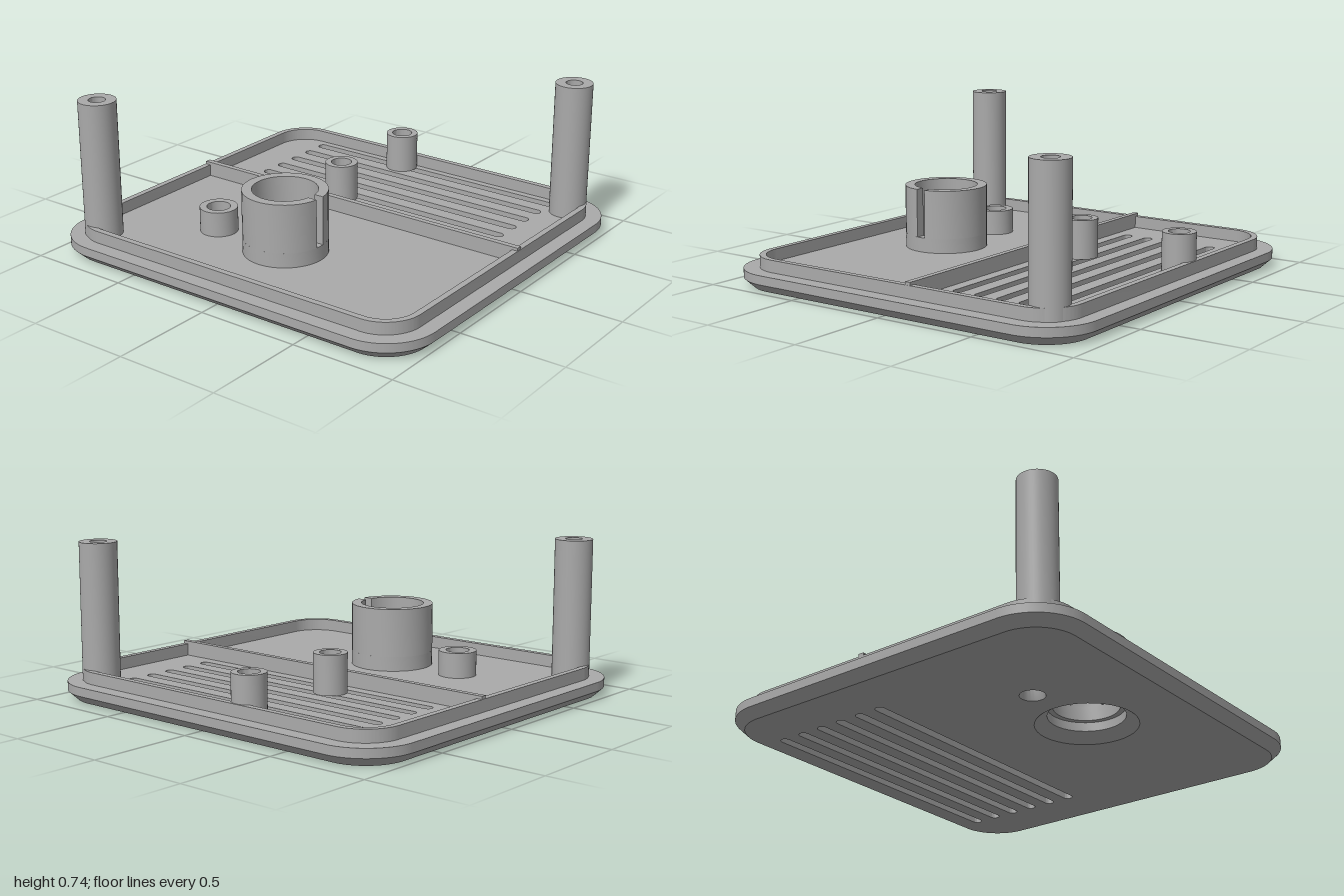
import * as THREE from 'three';
import { toCreasedNormals } from 'three/addons/utils/BufferGeometryUtils.js';

const FLOOR = 0.085, RIM_TOP = 0.143;
const TUBE_Z = 0.415, BOSS_X = -0.4;

// Rounded rectangle centred on the origin (half sizes and corner radius)
function roundedRect(hx, hz, r, Type = THREE.Shape) {
  const s = new Type();
  s.absarc(hx - r, hz - r, r, 0, Math.PI / 2);
  s.absarc(-hx + r, hz - r, r, Math.PI / 2, Math.PI);
  s.absarc(-hx + r, -hz + r, r, Math.PI, Math.PI * 1.5);
  s.absarc(hx - r, -hz + r, r, Math.PI * 1.5, Math.PI * 2);
  s.closePath();
  return s;
}

function circle(x, z, r, Type = THREE.Path) {
  return new Type().absarc(x, -z, r, 0, Math.PI * 2);
}

// Extrude a plan shape (shape y = -z) upward from y0 to y1
function slab(shape, y0, y1, steps = 1) {
  const g = new THREE.ExtrudeGeometry(shape, { depth: y1 - y0, steps, bevelEnabled: false, curveSegments: 20 });
  return g.rotateX(-Math.PI / 2).translate(0, y0, 0);
}

const crease = (g) => toCreasedNormals(g, 0.5);

// Turn a [radius, y] profile about a vertical axis at x, z
function turned(profile, x, z) {
  const g = new THREE.LatheGeometry(profile.map(([r, y]) => new THREE.Vector2(r, y)), 40);
  return crease(g.toNonIndexed()).translate(x, 0, z);
}

// Solid post with a blind screw hole
function post(x, z, r, hole, top, holeBottom) {
  return turned([[0, FLOOR], [r, FLOOR], [r, top], [hole, top], [hole, holeBottom], [0, holeBottom]], x, z);
}

// Base plate: chamfered lower edge, countersunk holes and vent slots
function basePlate() {
  const s = roundedRect(0.953, 0.898, 0.2);
  s.holes.push(circle(0, TUBE_Z, 0.236), circle(BOSS_X, TUBE_Z, 0.058));
  for (let i = 0; i < 6; i++) {
    const y = 0.783 - i * 0.117, r = 0.023, x = 0.693;
    const slot = new THREE.Path();
    slot.absarc(x, y, r, -Math.PI / 2, Math.PI / 2);
    slot.absarc(-x, y, r, Math.PI / 2, Math.PI * 1.5);
    slot.closePath();
    s.holes.push(slot);
  }
  const g = slab(s, 0, FLOOR, 2);
  const p = g.attributes.position;
  // Above the chamfer the outline grows and the countersinks shrink
  for (let i = 0; i < p.count; i++) {
    if (p.getY(i) < 0.02) continue;
    let x = p.getX(i), z = p.getZ(i);
    const cx = THREE.MathUtils.clamp(x, -0.75, 0.75), cz = THREE.MathUtils.clamp(z, -0.695, 0.695);
    const d = Math.hypot(x - cx, z - cz);
    if (d > 0.19) {
      x = cx + (x - cx) * 0.25 / d;
      z = cz + (z - cz) * 0.25 / d;
    } else if (Math.hypot(x, z - TUBE_Z) < 0.24) {
      x *= 0.178 / 0.236;
      z = TUBE_Z + (z - TUBE_Z) * 0.178 / 0.236;
    } else if (Math.hypot(x - BOSS_X, z - TUBE_Z) < 0.06) {
      x = BOSS_X + (x - BOSS_X) * 0.046 / 0.058;
      z = TUBE_Z + (z - TUBE_Z) * 0.046 / 0.058;
    }
    p.setXYZ(i, x, p.getY(i), z);
  }
  return crease(g);
}

export function createModel() {
  const model = new THREE.Group();
  model.name = 'ventedCover';
  const grey = new THREE.MeshStandardMaterial({ color: 0xaaaaaa });
  grey.name = 'grey plastic';
  const add = (name, geometry, parent = model) => {
    const m = new THREE.Mesh(geometry, grey);
    m.name = name;
    parent.add(m);
    return m;
  };

  add('basePlate', basePlate());

  // Raised locating rim
  const rim = roundedRect(0.926, 0.872, 0.18);
  rim.holes.push(roundedRect(0.896, 0.842, 0.15, THREE.Path));
  add('rim', crease(slab(rim, FLOOR, RIM_TOP)));

  // Cross rib between the vented and solid halves
  add('dividerRib', new THREE.BoxGeometry(1.848, 0.157 - FLOOR, 0.028).translate(0, (0.157 + FLOOR) / 2, -0.105));

  // Tall corner posts
  add('frontPost', post(-0.815, 0.76, 0.089, 0.04, 0.741, 0.4));
  add('backPost', post(0.813, -0.76, 0.089, 0.04, 0.741, 0.4));

  // Medium screw bosses over the vents
  add('backBoss', post(-0.18, -0.787, 0.079, 0.05, 0.272, 0.1));
  add('middleBoss', post(-0.18, -0.257, 0.079, 0.05, 0.272, 0.1));

  // Short boss with a stepped through hole
  add('shortBoss', turned([[0.046, FLOOR], [0.09, FLOOR], [0.09, 0.205], [0.056, 0.205],
    [0.056, 0.12], [0.046, 0.12], [0.046, FLOOR]], BOSS_X, TUBE_Z));

  // Large tube: closed ring below, ring with a notch on the left side above
  const tube = new THREE.Group();
  tube.name = 'largeTube';
  model.add(tube);
  const R = 0.198, r = 0.152, half = 0.0225;
  const ring = circle(0, TUBE_Z, R, THREE.Shape);
  ring.holes.push(circle(0, TUBE_Z, r));
  add('tubeBase', crease(slab(ring, FLOOR, 0.155)), tube);
  const a = Math.asin(half / R), b = Math.asin(half / r);
  const split = new THREE.Shape();
  split.absarc(0, -TUBE_Z, R, a, Math.PI * 2 - a, false);
  split.absarc(0, -TUBE_Z, r, Math.PI * 2 - b, b, true);
  split.closePath();
  add('tubeNotchedWall', crease(slab(split, 0.155, 0.388)), tube);

  return model;
}
